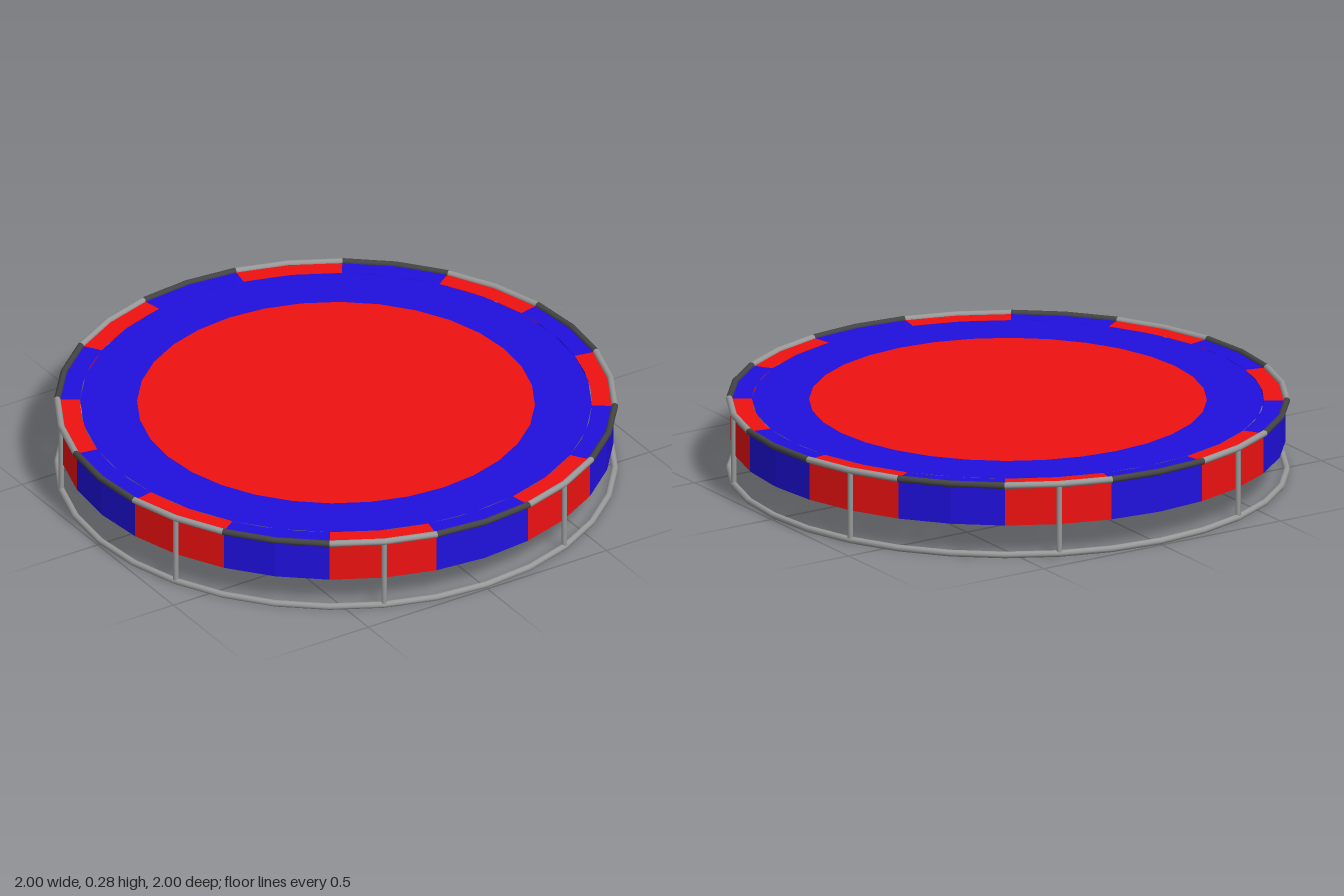
import * as THREE from 'three';

const SECTORS = 16;                      // alternating blue and red
const STEP = (Math.PI * 2) / SECTORS;
const R_FRAME = 0.988, R_COVER = 0.984, R_TRIM = 0.907, R_BED = 0.705;
const TUBE = 0.012, Y_TOP = 0.27, Y_SKIRT = 0.12;

const material = (color, extra = {}) => new THREE.MeshStandardMaterial({ color, ...extra });

export function createModel() {
  const model = new THREE.Group();
  const red = material(0xee1111, { side: THREE.DoubleSide, flatShading: true });
  const blue = material(0x2010dd, { side: THREE.DoubleSide, flatShading: true });
  const steel = material(0x999999);
  const darkSteel = material(0x444444);

  const add = (name, geometry, mat, parent = model) => {
    const mesh = new THREE.Mesh(geometry, mat);
    mesh.name = name;
    parent.add(mesh);
    return mesh;
  };
  const group = (name) => {
    const g = new THREE.Group();
    g.name = name;
    model.add(g);
    return g;
  };

  // Jumping bed and the padded ring around it
  const bed = new THREE.CircleGeometry(R_BED, 32).rotateX(-Math.PI / 2);
  add('jumpingBed', bed, red).position.y = Y_TOP;
  const pad = new THREE.RingGeometry(R_BED, R_TRIM, 32).rotateX(-Math.PI / 2);
  add('padRing', pad, blue).position.y = Y_TOP;

  // Alternating edge trim, hanging skirt and upper rail, one sector at a time
  const trim = group('edgeTrim');
  const skirt = group('skirt');
  const rail = group('upperRail');
  const skirtHeight = Y_TOP - Y_SKIRT;
  for (let i = 0; i < SECTORS; i++) {
    const isRed = i % 2 === 1;
    const start = (i - 0.5) * STEP;
    const cover = isRed ? red : blue;

    const edge = new THREE.RingGeometry(R_TRIM, R_COVER, 2, 1, start, STEP).rotateX(-Math.PI / 2);
    add('trimPanel', edge, cover, trim).position.y = Y_TOP;

    const wall = new THREE.CylinderGeometry(R_COVER, R_COVER, skirtHeight, 2, 1, true, start, STEP);
    add('skirtPanel', wall, cover, skirt).position.y = Y_SKIRT + skirtHeight / 2;

    const arc = new THREE.TorusGeometry(R_FRAME, TUBE, 10, 2, STEP).rotateX(-Math.PI / 2).rotateY(start);
    add('railSection', arc, isRed ? steel : darkSteel, rail).position.y = Y_TOP;
  }

  // Ground ring
  const base = new THREE.TorusGeometry(R_FRAME, TUBE, 10, 32).rotateX(-Math.PI / 2);
  add('groundRing', base, steel).position.y = TUBE;

  // Eight legs, one at the middle of each red sector
  const legs = group('legs');
  const legHeight = Y_TOP - TUBE;
  const legGeometry = new THREE.CylinderGeometry(0.01, 0.01, legHeight, 10);
  for (let i = 1; i < SECTORS; i += 2) {
    const a = i * STEP;
    add('leg', legGeometry, steel, legs)
      .position.set(R_FRAME * Math.sin(a), TUBE + legHeight / 2, R_FRAME * Math.cos(a));
  }
  return model;
}
